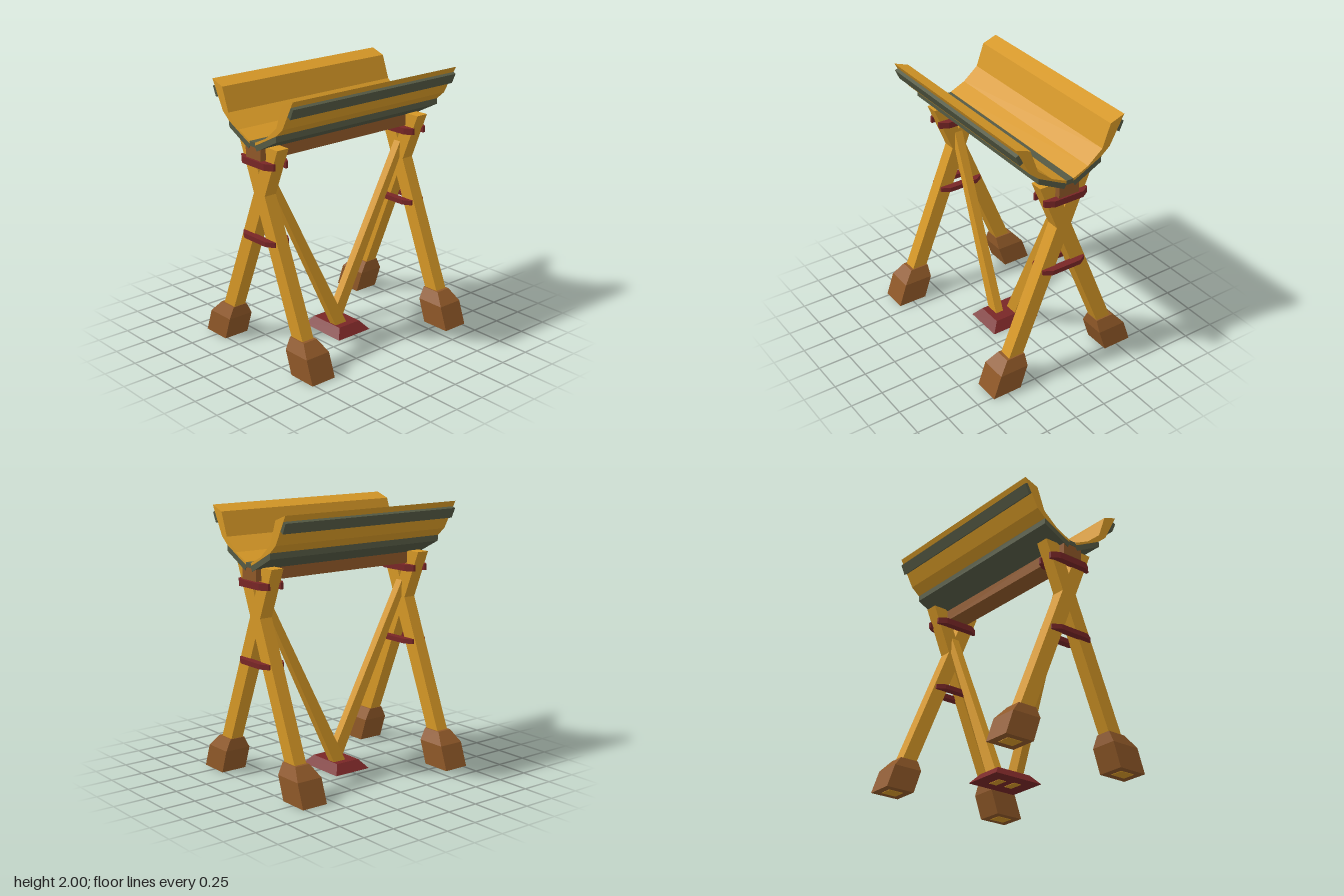
import * as THREE from 'three';

const mat = (name, color) => Object.assign(new THREE.MeshStandardMaterial({ color }), { name });

// Solid lofted through horizontal rectangles [y, x0, x1, z0, z1], with flat faces.
function loft(sections) {
  const rings = sections.map(([y, x0, x1, z0, z1]) =>
    [[x0, y, z0], [x0, y, z1], [x1, y, z1], [x1, y, z0]]);
  const pos = [];
  const quad = (a, b, c, d) => pos.push(...a, ...b, ...c, ...a, ...c, ...d);
  for (let k = 0; k < rings.length - 1; k++) {
    for (let i = 0; i < 4; i++) {
      const j = (i + 1) % 4;
      quad(rings[k][i], rings[k][j], rings[k + 1][j], rings[k + 1][i]);
    }
  }
  quad(...rings[rings.length - 1]);
  quad(...[...rings[0]].reverse());
  const g = new THREE.BufferGeometry();
  g.setAttribute('position', new THREE.Float32BufferAttribute(pos, 3));
  g.computeVertexNormals();
  return g;
}

// Mirrors a loft section across x and/or z.
const flip = (sx, sz) => ([y, x0, x1, z0, z1]) => [
  y,
  sx > 0 ? x0 : -x1, sx > 0 ? x1 : -x0,
  sz > 0 ? z0 : -z1, sz > 0 ? z1 : -z0,
];

function extrude(points, depth) {
  const shape = new THREE.Shape(points.map(([x, y]) => new THREE.Vector2(x, y)));
  return new THREE.ExtrudeGeometry(shape, { depth, bevelEnabled: false });
}

// Profile in the front plane, run along the whole length of the trough.
const LENGTH = 1.54;
const alongZ = (points, length = LENGTH) => extrude(points, length).translate(0, 0, -length / 2);

export function createModel() {
  const model = new THREE.Group();
  model.name = 'troughStand';
  const wood = mat('yellowWood', 0xd59726);
  const brown = mat('brownWood', 0x8f5828);
  const grey = mat('greyGreenMetal', 0x555a44);
  const red = mat('darkRed', 0x782626);
  const add = (name, geometry, material) => {
    const mesh = new THREE.Mesh(geometry, material);
    mesh.name = name;
    model.add(mesh);
  };

  // Trough halves and the rails on their outer faces
  const trough = [[0.03, 1.635], [0.15, 1.69], [0.267, 1.787], [0.33, 1.96], [0.443, 2],
    [0.33, 1.787], [0.262, 1.73], [0.07, 1.633], [0.03, 1.615]];
  const rail = [[0.42, 1.958], [0.443, 1.947], [0.41, 1.873], [0.384, 1.89]];
  for (const s of [1, -1]) {
    const mirror = ([x, y]) => [s * x, y];
    add(s > 0 ? 'leftTrough' : 'rightTrough', alongZ(trough.map(mirror)), wood);
    add(s > 0 ? 'leftRail' : 'rightRail', alongZ(rail.map(mirror), LENGTH - 0.004), grey);
  }

  // Cradle under the trough, with its centre ridge showing between the halves
  const cradle = [[0.262, 1.729], [0.07, 1.632], [0.03, 1.634]];
  const under = [[0.03, 1.6], [0.045, 1.575], [0.262, 1.686]];
  const left = (pts) => pts.map(([x, y]) => [-x, y]).reverse();
  add('cradle', alongZ([...cradle, ...left(cradle), ...left(under), ...under], LENGTH - 0.002), grey);

  // Beam that carries the cradle
  add('beam', new THREE.BoxGeometry(0.166, 0.1, LENGTH - 0.01).translate(0, 1.56, 0), brown);

  // Crossed legs, feet and tie plates at each end
  const legX = (y) => (1.24 - y) * 0.407;
  const leg = [0, 1.605].map((y) => [y, legX(y) - 0.061, legX(y) + 0.061, 0.62, 0.72]);
  const foot = [
    [0.003, 0.39, 0.622, 0.565, 0.77],
    [0.18, 0.33, 0.56, 0.565, 0.77],
    [0.267, 0.33, 0.48, 0.61, 0.73],
  ];
  for (const sz of [1, -1]) {
    const end = sz > 0 ? 'front' : 'back';
    for (const sx of [1, -1]) {
      const side = sx > 0 ? 'Left' : 'Right';
      add(`${end}${side}Leg`, loft(leg.map(flip(sx, sz))), wood);
      add(`${end}${side}Foot`, loft(foot.map(flip(sx, sz))), brown);
    }
    for (const [label, y, h] of [['Upper', 1.455, 0.048], ['Lower', 0.895, 0.036]]) {
      for (const f of [1, -1]) {
        const outline = [[-0.18, 0.045], [0.18, 0.045], [0.18, 0.065], [0.12, 0.102],
          [-0.12, 0.102], [-0.18, 0.065]].map(([x, d]) => [x, -(sz * 0.668 + f * d)]);
        const plate = extrude(outline, h).rotateX(-Math.PI / 2).translate(0, y, 0);
        add(`${end}${label}${f * sz > 0 ? 'Front' : 'Back'}Tie`, plate, red);
      }
    }
  }

  // Diagonal braces rising from the centre base into the crossed legs
  const brace = [
    [0, 0.032, 0.097, -0.05, 0.06],
    [1.37, -0.03, 0.035, 0.62, 0.68],
  ];
  add('frontBrace', loft(brace), wood);
  add('backBrace', loft(brace.map(flip(-1, -1))), wood);

  // Centre base
  add('centreBase', loft([
    [0.003, -0.205, 0.205, -0.155, 0.155],
    [0.07, -0.145, 0.145, -0.1, 0.1],
  ]), red);

  return model;
}
